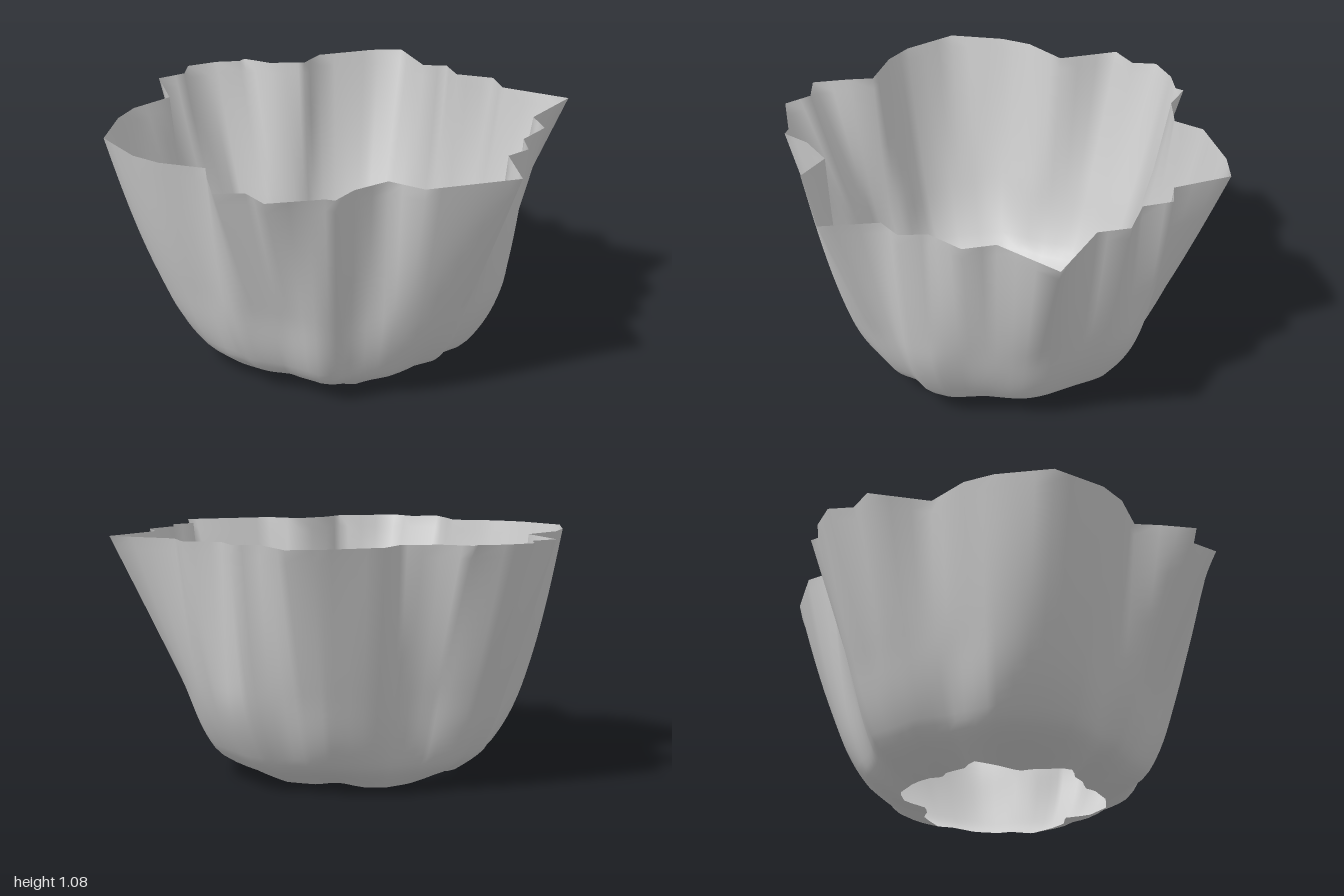
import * as THREE from 'three';

const HEIGHT = 1.08, ROWS = 28, COLUMNS = 84;
const LEVELS = [0, 0.12, 0.45, HEIGHT]; // heights of the foot, turn, middle and rim

// Outlines as x, z pairs, running round the bowl from the back
const RIM = [
  -0.24, -1, -0.03, -0.84, 0.07, -0.89, 0.17, -0.8, 0.34, -0.84, 0.44, -0.74, 0.76, -0.76,
  0.73, -0.45, 0.83, -0.35, 0.81, -0.18, 0.88, -0.08, 0.84, 0.03, 1, 0.23, 0.72, 0.53,
  0.55, 0.53, 0.48, 0.68, 0.47, 0.81, 0.43, 0.82, 0.25, 0.98, 0.13, 0.93, 0.02, 1,
  -0.09, 0.88, -0.16, 0.79, -0.36, 0.84, -0.5, 0.83, -0.73, 0.73, -0.83, 0.5, -0.85, 0.36,
  -0.8, 0.16, -1, -0.03, -0.94, -0.15, -0.99, -0.25, -0.91, -0.37, -0.82, -0.44,
  -0.82, -0.48, -0.68, -0.49, -0.54, -0.58, -0.54, -0.72, -0.36, -0.92,
];
const MIDDLE = [
  -0.22, -0.75, -0.05, -0.74, 0.08, -0.79, 0.2, -0.76, 0.38, -0.66, 0.55, -0.54, 0.61, -0.42,
  0.68, -0.28, 0.78, -0.12, 0.79, -0.04, 0.73, 0.08, 0.75, 0.19, 0.67, 0.37, 0.57, 0.47,
  0.43, 0.55, 0.37, 0.67, 0.32, 0.71, 0.2, 0.7, 0.03, 0.73, -0.08, 0.75, -0.2, 0.69,
  -0.42, 0.69, -0.59, 0.59, -0.7, 0.44, -0.69, 0.23, -0.75, 0.08, -0.79, -0.04,
  -0.76, -0.15, -0.74, -0.3, -0.6, -0.38, -0.51, -0.46, -0.46, -0.59, -0.35, -0.69,
];
const BASE = [
  0.09, -0.41, 0.14, -0.36, 0.24, -0.31, 0.31, -0.23, 0.33, -0.17, 0.4, -0.1, 0.39, 0.02,
  0.37, 0.09, 0.31, 0.13, 0.34, 0.24, 0.3, 0.35, 0.21, 0.4, 0.1, 0.41, 0.05, 0.39,
  -0.02, 0.42, -0.1, 0.42, -0.14, 0.46, -0.18, 0.44, -0.25, 0.33, -0.27, 0.26, -0.38, 0.21,
  -0.46, 0.16, -0.46, 0.13, -0.42, 0.1, -0.42, -0.01, -0.39, -0.05, -0.41, -0.11,
  -0.4, -0.19, -0.34, -0.31, -0.25, -0.35, -0.14, -0.32, -0.09, -0.34, -0.05, -0.39, 0, -0.4,
];

function toPoints(pairs) {
  const points = [];
  for (let i = 0; i < pairs.length; i += 2) points.push(new THREE.Vector3(pairs[i], 0, pairs[i + 1]));
  return points;
}

const soften = (points) => new THREE.CatmullRomCurve3(points, true).getPoints(200).slice(0, -1);

// Distance from the axis to a closed outline in a given direction
function radiusAt(points, angle) {
  const dx = Math.cos(angle), dz = Math.sin(angle);
  let radius = 0;
  points.forEach((a, i) => {
    const b = points[(i + 1) % points.length];
    const sideA = dx * a.z - dz * a.x, sideB = dx * b.z - dz * b.x;
    if (sideA * sideB > 0 || sideA === sideB) return;
    const t = sideA / (sideA - sideB);
    radius = Math.max(radius, (a.x + (b.x - a.x) * t) * dx + (a.z + (b.z - a.z) * t) * dz);
  });
  return radius;
}

// Even columns, plus one through each sharp corner of the rim
function columnAngles(rim) {
  const corners = rim.map((p) => Math.atan2(p.z, p.x));
  const even = Array.from({ length: COLUMNS }, (_, i) => -Math.PI + ((i + 0.5) / COLUMNS) * Math.PI * 2);
  const clear = even.filter((a) => corners.every((c) => Math.abs(a - c) > 0.03));
  return [...corners, ...clear].sort((a, b) => a - b);
}

// Smooth wall profile through the radii at the four levels, without overshoot
function profile(radii) {
  const rise = [0, 1, 2].map((i) => (radii[i + 1] - radii[i]) / (LEVELS[i + 1] - LEVELS[i]));
  const blend = (a, b) => (a * b > 0 ? (2 * a * b) / (a + b) : 0);
  const low = blend(rise[0], rise[1]), mid = blend(rise[1], rise[2]);
  const slopes = [1.5 * rise[0] - 0.5 * low, low, mid, 1.5 * rise[2] - 0.5 * mid];
  return (y) => {
    const i = y < LEVELS[1] ? 0 : y < LEVELS[2] ? 1 : 2;
    const h = LEVELS[i + 1] - LEVELS[i], t = (y - LEVELS[i]) / h, s = 1 - t;
    return radii[i] * s * s * (1 + 2 * t) + radii[i + 1] * t * t * (3 - 2 * t)
      + h * t * s * (slopes[i] * s - slopes[i + 1] * t);
  };
}

function pleatedWall() {
  const rim = toPoints(RIM), middle = soften(toPoints(MIDDLE)), base = toPoints(BASE);
  const angles = columnAngles(rim), n = angles.length;
  const columns = angles.map((a) => {
    const foot = radiusAt(base, a), waist = radiusAt(middle, a);
    return profile([foot, foot + (waist - foot) * 0.6, waist, radiusAt(rim, a)]);
  });

  const positions = [], indices = [];
  for (let j = 0; j <= ROWS; j++) {
    // Rows crowd towards the rounded foot
    const y = HEIGHT * Math.pow(j / ROWS, 1.4);
    columns.forEach((radius, i) => {
      const r = radius(y);
      positions.push(Math.cos(angles[i]) * r, y, Math.sin(angles[i]) * r);
    });
  }
  for (let j = 0; j < ROWS; j++) {
    for (let i = 0; i < n; i++) {
      const k = (i + 1) % n;
      const a = j * n + i, b = j * n + k, c = a + n, d = b + n;
      indices.push(a, c, b, b, c, d);
    }
  }
  const geometry = new THREE.BufferGeometry();
  geometry.setAttribute('position', new THREE.Float32BufferAttribute(positions, 3));
  geometry.setIndex(indices);
  geometry.computeVertexNormals();
  return geometry;
}

export function createModel() {
  const group = new THREE.Group();
  group.name = 'pleatedBowl';
  // Thin open wall, without a floor
  const material = new THREE.MeshStandardMaterial({ color: 0xcccccc, side: THREE.DoubleSide });
  const wall = new THREE.Mesh(pleatedWall(), material);
  wall.name = 'bowlWall';
  group.add(wall);
  return group;
}
